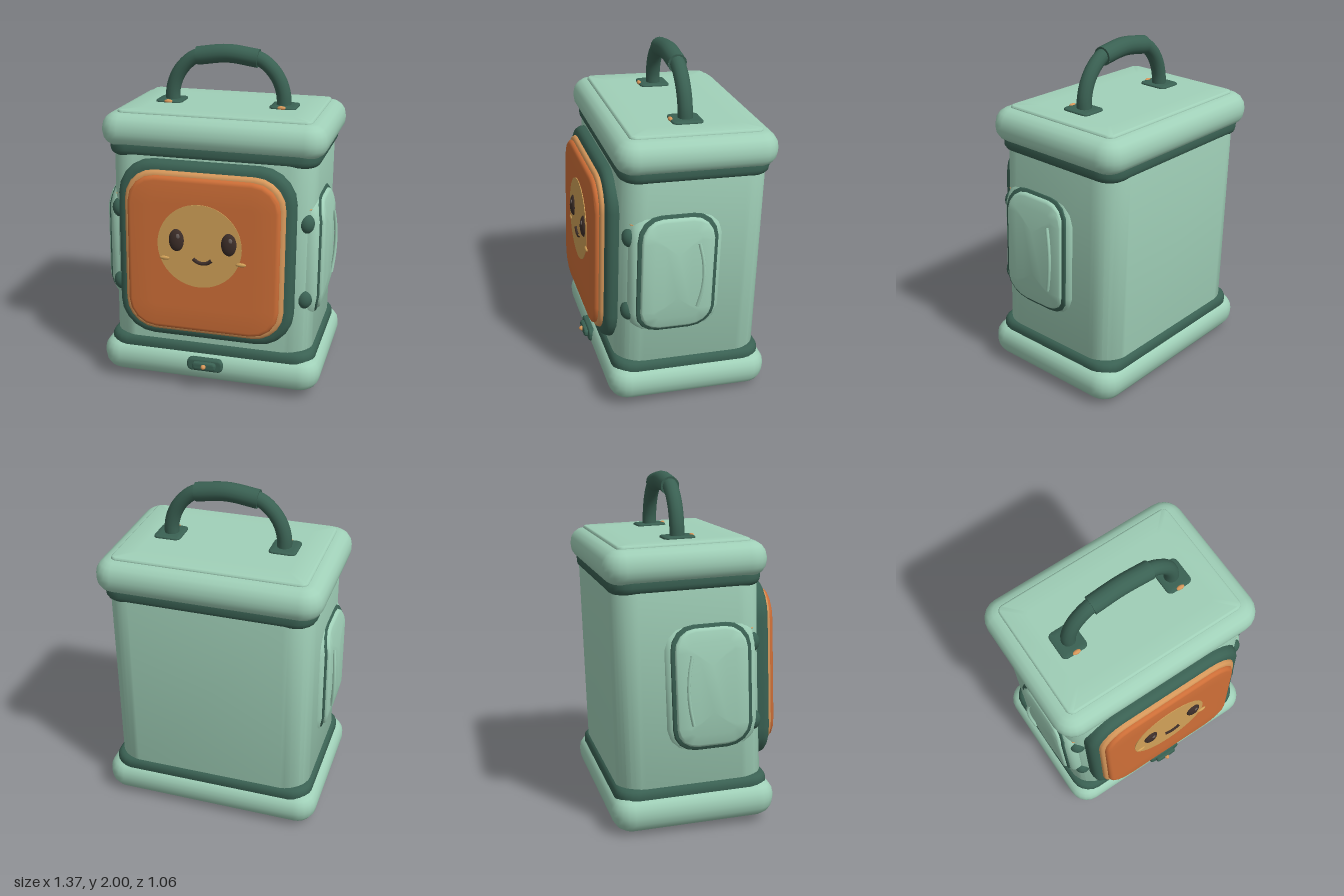
import * as THREE from 'three';
import { toCreasedNormals } from 'three/addons/utils/BufferGeometryUtils.js';

const flat = (name, color) => Object.assign(new THREE.MeshStandardMaterial({ color }), { name });
const mint = flat('mint', 0xa0d0b8);
const green = flat('dark green', 0x3a6153);
const orange = flat('orange', 0xcd6e37);
const gold = flat('gold trim', 0xd6975a);
const sand = flat('sand', 0xd0a057);
const brown = flat('dark brown', 0x3d2e29);
const glint = flat('eye glint', 0x6d625e);

// Rounded rectangle outline, counter-clockwise
function outline(hw, hh, r, seg) {
  const pts = [];
  const signs = [[1, 1], [-1, 1], [-1, -1], [1, -1]];
  signs.forEach(([sx, sy], q) => {
    for (let i = 0; i <= seg; i++) {
      const a = (q + i / seg) * Math.PI / 2;
      pts.push([sx * (hw - r) + r * Math.cos(a), sy * (hh - r) + r * Math.sin(a)]);
    }
  });
  return pts;
}

// Rounded slab from z0 to z1 facing +z; bend makes its faces fall away with y squared
function slab(hw, hh, r, z0, z1, { back = 0.01, front = 0.03, seg = 5, steps = 4, bend = 0 } = {}) {
  const m = Math.min(hw, hh), rings = [];
  for (const t of [1, 0.6, 0.3]) rings.push([back + (m - back) * t, z0]);
  for (let i = 0; i <= steps; i++) {
    const a = i / steps * Math.PI / 2;
    rings.push([back * (1 - Math.sin(a)), z0 + back * (1 - Math.cos(a))]);
  }
  for (let i = 0; i <= steps; i++) {
    const a = i / steps * Math.PI / 2;
    rings.push([front * (1 - Math.cos(a)), z1 - front * (1 - Math.sin(a))]);
  }
  for (const t of [0.3, 0.6, 1]) rings.push([front + (m - front) * t, z1]);

  const pos = [], idx = [], n = 4 * (seg + 1);
  for (const [inset, z] of rings) {
    const w = Math.max(hw - inset, 0), h = Math.max(hh - inset, 0);
    const rad = Math.min(Math.max(r - inset, 0.02), w, h);
    for (const [x, y] of outline(w, h, rad, seg)) pos.push(x, y, z - bend * y * y);
  }
  for (let i = 0; i < rings.length - 1; i++) {
    for (let j = 0; j < n; j++) {
      const a = i * n + j, b = i * n + (j + 1) % n;
      idx.push(a, b, b + n, a, b + n, a + n);
    }
  }
  const g = new THREE.BufferGeometry();
  g.setAttribute('position', new THREE.Float32BufferAttribute(pos, 3));
  g.setIndex(idx);
  return toCreasedNormals(g, 0.6);
}

export function createModel() {
  const root = new THREE.Group();
  root.name = 'lunchBoxLantern';
  const body = new THREE.Group();
  body.name = 'leaningBody';
  body.position.set(0, 0.015, -0.01);
  body.rotation.set(-0.035, 0.02, 0);
  root.add(body);

  const add = (name, geo, mat, x = 0, y = 0, z = 0, parent = body) => {
    const mesh = new THREE.Mesh(geo, mat);
    mesh.name = name;
    mesh.position.set(x, y, z);
    parent.add(mesh);
    return mesh;
  };
  const layer = (name, mat, hw, hd, r, y0, y1, opt, x = 0, z = 0) =>
    add(name, slab(hw, hd, r, y0, y1, opt).rotateX(-Math.PI / 2), mat, x, 0, z);
  const blob = (name, mat, x, y, z, rx, ry, rz) =>
    add(name, new THREE.SphereGeometry(1, 20, 12).scale(rx, ry, rz), mat, x, y, z);

  // Base, walls and lid, stacked upward
  layer('footPlate', green, 0.56, 0.385, 0.06, 0, 0.05, { front: 0.01 });
  layer('base', mint, 0.67, 0.48, 0.12, 0.01, 0.215, { back: 0.1, front: 0.08 });
  layer('lowerBand', green, 0.63, 0.45, 0.12, 0.18, 0.262, { front: 0.04 });
  layer('walls', mint, 0.606, 0.43, 0.15, 0.2, 1.43, { front: 0.01, seg: 8 });
  layer('upperBand', green, 0.622, 0.437, 0.12, 1.37, 1.46, { back: 0.04, front: 0.01 });
  layer('lid', mint, 0.66, 0.465, 0.12, 1.425, 1.618, { back: 0.08, front: 0.09 });
  layer('lidPanel', mint, 0.57, 0.38, 0.04, 1.6, 1.633, { front: 0.015 });

  // Carry handle with mounts and rivets
  for (const s of [-1, 1]) {
    layer('handleMount', green, 0.08, 0.09, 0.03, 1.62, 1.645, { front: 0.008 }, s * 0.345, 0.012);
    blob('mountRivet', gold, s * 0.342, 1.64, 0.097, 0.026, 0.012, 0.013);
  }
  const handle = new THREE.Group();
  handle.name = 'handle';
  handle.position.set(0, 1.62, 0.01);
  handle.rotation.x = 0.035;
  body.add(handle);
  const half = [[0.34, 0], [0.337, 0.08], [0.31, 0.165], [0.258, 0.237], [0.185, 0.288]];
  const v = ([x, y]) => new THREE.Vector3(x, y, 0);
  const path = new THREE.CatmullRomCurve3([
    ...half.map(([x, y]) => v([-x, y])), v([0, 0.31]), ...half.slice().reverse().map(v)]);
  add('handleBar', new THREE.TubeGeometry(path, 48, 0.043, 14), green, 0, 0, 0, handle);
  const gripPath = new THREE.CatmullRomCurve3([v([-0.185, 0.288]), v([0, 0.31]), v([0.185, 0.288])]);
  add('handleGrip', new THREE.TubeGeometry(gripPath, 16, 0.055, 16), green, 0, 0, 0, handle);
  for (const t of [0, 1]) {
    const p = gripPath.getPoint(t), d = gripPath.getTangent(t).multiplyScalar(t ? 1 : -1);
    const cap = add('gripEnd', new THREE.CircleGeometry(0.055, 16), green, p.x, p.y, p.z, handle);
    cap.quaternion.setFromUnitVectors(new THREE.Vector3(0, 0, 1), d);
  }

  // Front door: frame, trim and panel
  const cx = -0.01, cy = 0.84;
  add('doorFrame', slab(0.522, 0.538, 0.21, 0.35, 0.49, { front: 0.045 }), green, cx, cy);
  add('doorTrim', slab(0.472, 0.488, 0.18, 0.45, 0.515, { front: 0.025 }), gold, cx, cy);
  add('doorPanel', slab(0.448, 0.463, 0.165, 0.48, 0.54, { front: 0.025, seg: 4 }), orange, cx, cy);

  // Face
  add('faceDisc', new THREE.CylinderGeometry(0.248, 0.248, 0.006, 48).rotateX(Math.PI / 2),
    sand, -0.024, 0.908, 0.541);
  for (const s of [-1, 1]) {
    const x = -0.005 + s * 0.154;
    blob('eye', brown, x, 0.936, 0.54, 0.046, 0.068, 0.025);
    blob('eyeGlint', glint, x + 0.012, 0.964, 0.559, 0.012, 0.016, 0.005);
    blob('cheek', sand, -0.005 + s * 0.225, 0.822, 0.542, 0.031, 0.012, 0.01);
  }
  const smile = new THREE.CatmullRomCurve3([[-0.055, 0.834], [-0.03, 0.815], [0, 0.809], [0.03, 0.815], [0.055, 0.834]]
    .map(([x, y]) => new THREE.Vector3(x, y, 0.546)));
  add('mouth', new THREE.TubeGeometry(smile, 16, 0.011, 8), brown, -0.004);

  // Latch on the base
  add('latchPlate', slab(0.11, 0.04, 0.032, 0.45, 0.497, { front: 0.012 }), green, -0.005, 0.14);
  add('latchButton', slab(0.072, 0.024, 0.02, 0.48, 0.52, { front: 0.01 }), green, -0.005, 0.142);
  blob('latchStud', gold, -0.005, 0.143, 0.522, 0.015, 0.015, 0.018);

  // Domed side pods with hinges
  const dome = 0.35;
  for (const s of [-1, 1]) {
    const pod = (name, mat, hw, hh, r, x0, x1, front) =>
      add(name, slab(hw, hh, r, x0, x1, { front, seg: 4, bend: dome }).rotateY(s * Math.PI / 2), mat, 0, 0.82, 0.11);
    pod('podRim', mint, 0.27, 0.43, 0.2, 0.5, 0.65, 0.055);
    pod('podGroove', green, 0.232, 0.365, 0.14, 0.55, 0.657, 0.01);
    pod('podPanel', mint, 0.21, 0.343, 0.125, 0.55, 0.673, 0.018);
    const ridge = new THREE.CatmullRomCurve3([[-0.2, -0.01], [-0.1, -0.029], [0, -0.036], [0.1, -0.028], [0.2, -0.006]]
      .map(([y, z]) => new THREE.Vector3(s * (0.674 - dome * y * y), 0.82 + y, z)));
    add('podRidge', new THREE.TubeGeometry(ridge, 20, 0.01, 8), mint);
    for (const y of [0.585, 1.045]) blob('hinge', green, s * 0.556, y, 0.365, 0.05, 0.06, 0.05);
    blob('hingeRivet', gold, s * 0.556, 1.128, 0.362, 0.03, 0.006, 0.015);
  }
  return root;
}
